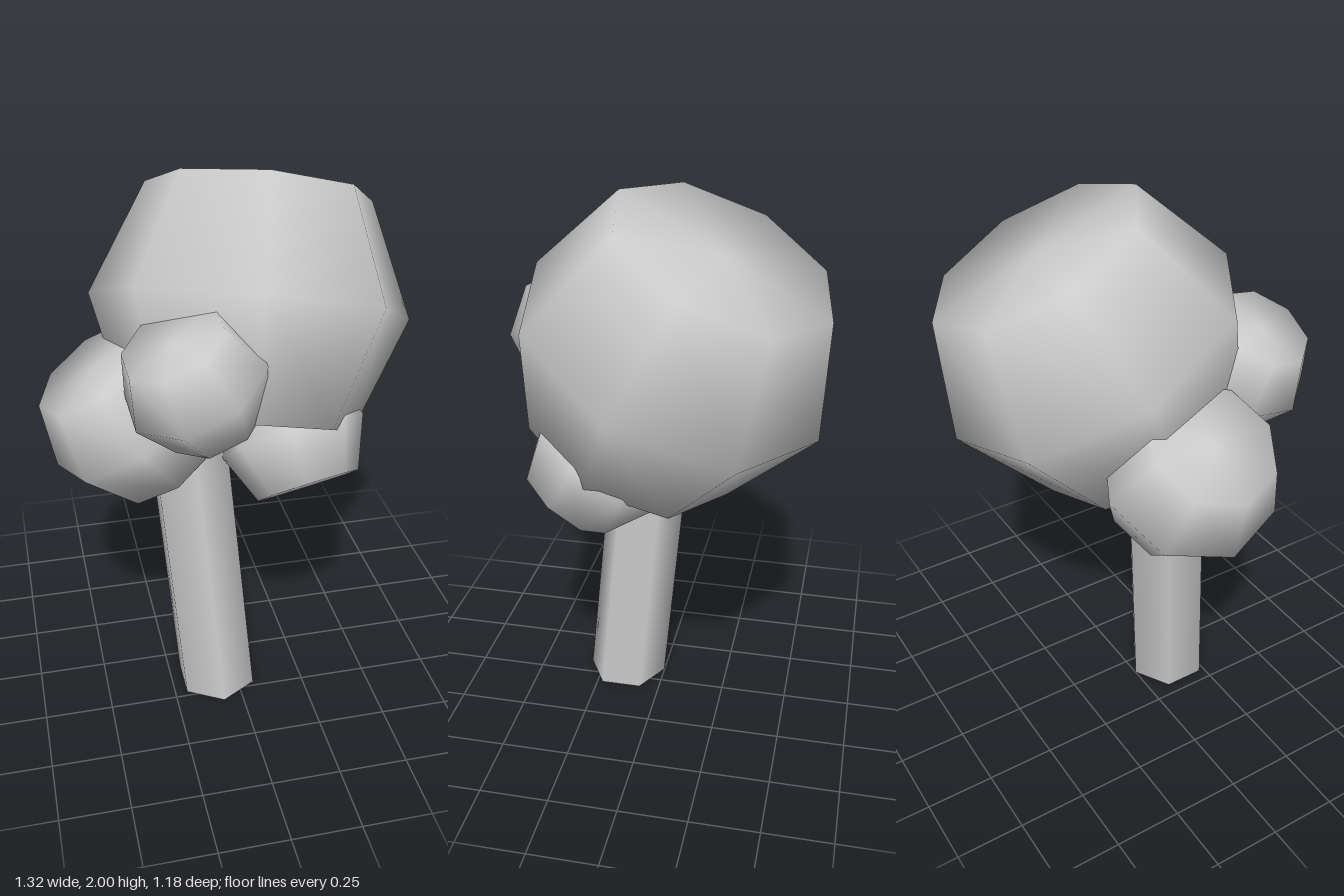
import * as THREE from 'three';

const material = new THREE.MeshStandardMaterial({ color: 0xcccccc });

// Eight-sided low-poly ball whose two poles are cut flat; normals stay round
function puffGeometry() {
  const geometry = new THREE.SphereGeometry(1, 8, 4);
  const p = geometry.attributes.position;
  for (let i = 0; i < p.count; i++) {
    p.setY(i, THREE.MathUtils.clamp(p.getY(i), -Math.SQRT1_2, Math.SQRT1_2));
  }
  return geometry;
}

// axis points through the flat caps, side turns the ball around that axis
function addPuff(group, geometry, { name, radius, centre, axis, side }) {
  const y = new THREE.Vector3(...axis).normalize();
  const x = new THREE.Vector3(...side);
  x.addScaledVector(y, -x.dot(y)).normalize();
  const z = new THREE.Vector3().crossVectors(x, y);
  const puff = new THREE.Mesh(geometry, material);
  puff.name = name;
  puff.position.set(...centre);
  puff.quaternion.setFromRotationMatrix(new THREE.Matrix4().makeBasis(x, y, z));
  puff.scale.setScalar(radius);
  group.add(puff);
}

export function createModel() {
  const tree = new THREE.Group();
  tree.name = 'tree';

  // Leaning six-sided trunk
  const height = 1.04;
  const trunkGeometry = new THREE.CylinderGeometry(0.15, 0.152, height, 6);
  trunkGeometry.translate(0, height / 2, 0);
  const lean = new THREE.Matrix4().set(
    1, -0.08, 0, -0.073,
    0, 1, 0, 0,
    0, -0.085, 1, 0.153,
    0, 0, 0, 1
  );
  trunkGeometry.applyMatrix4(lean);
  const trunk = new THREE.Mesh(trunkGeometry, material);
  trunk.name = 'trunk';
  tree.add(trunk);

  // Foliage: one large crown and three small clumps
  const geometry = puffGeometry();
  const foliage = new THREE.Group();
  foliage.name = 'foliage';
  [
    { name: 'crown', radius: 0.57, centre: [0.105, 1.465, -0.075],
      axis: [0.177, 0.89, -0.425], side: [0.137, -0.45, -0.886] },
    { name: 'frontClump', radius: 0.25, centre: [-0.18, 1.41, 0.35],
      axis: [-0.42, 0.88, 0.18], side: [0.38, 0, 0.92] },
    { name: 'rightClump', radius: 0.32, centre: [-0.35, 1.15, 0.035],
      axis: [-0.55, 0.83, 0], side: [0, 0, 1] },
    { name: 'leftClump', radius: 0.26, centre: [0.2, 1.07, 0.18],
      axis: [0.17, -0.78, 0.6], side: [0.94, 0.28, 0.1] },
  ].forEach((spec) => addPuff(foliage, geometry, spec));
  tree.add(foliage);

  return tree;
}
